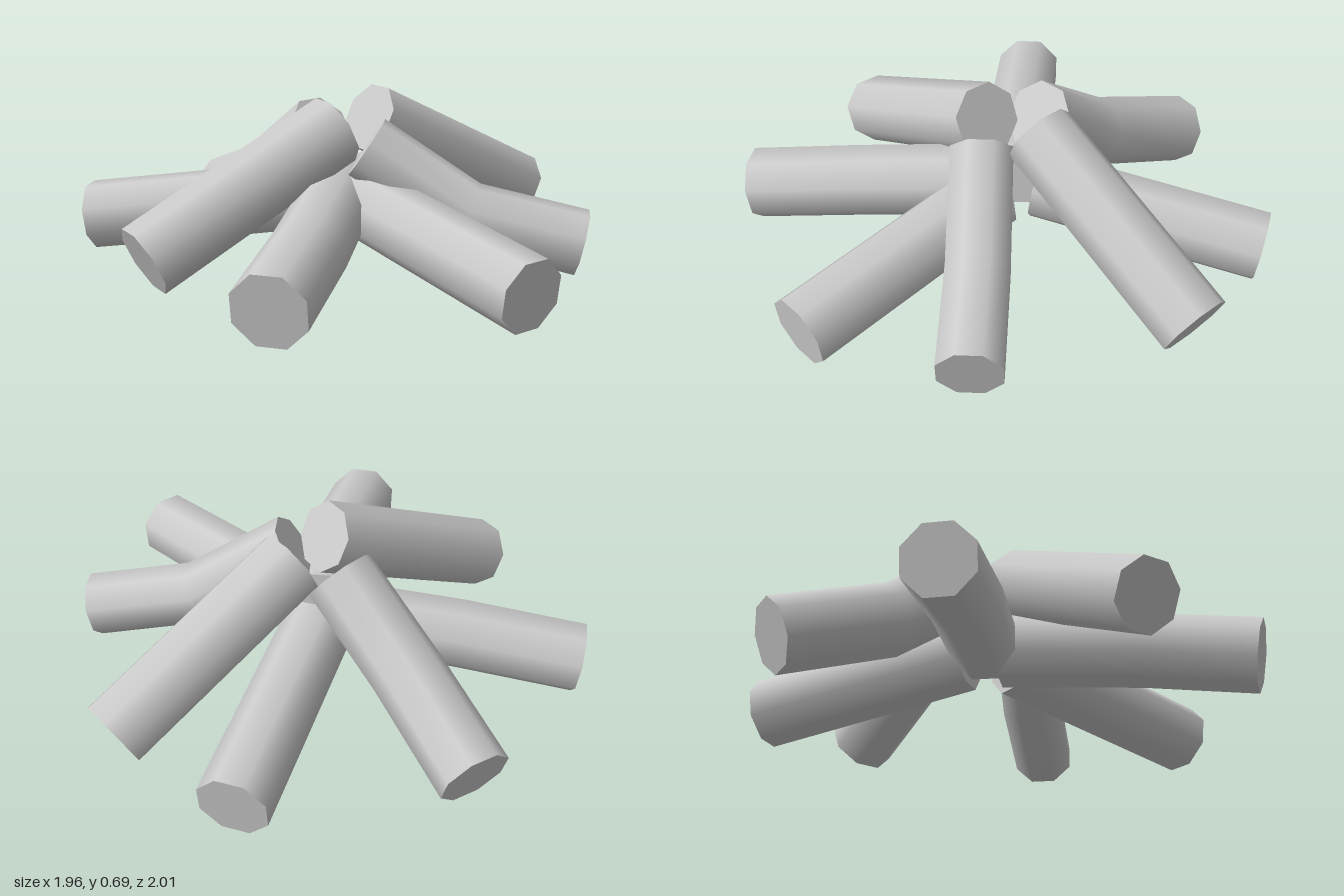
import * as THREE from 'three';

const UP = new THREE.Vector3(0, 1, 0);
const SIDES = 8;

// Log: an eight-sided cylinder whose rings follow a short path from outer foot to inner tip
function makeLog(name, radius, path) {
  const pts = path.map((p) => new THREE.Vector3(...p));
  const last = pts.length - 1;
  const frames = pts.map((p, i) => {
    const t = new THREE.Vector3();
    if (i > 0) t.add(p.clone().sub(pts[i - 1]).normalize());
    if (i < last) t.add(pts[i + 1].clone().sub(p).normalize());
    t.normalize();
    const x = new THREE.Vector3().crossVectors(UP, t).normalize();
    const z = new THREE.Vector3().crossVectors(x, t);
    return new THREE.Matrix4().makeBasis(x, t, z).setPosition(p);
  });
  const geo = new THREE.CylinderGeometry(radius, radius, 1, SIDES, last, false, Math.PI / SIDES);
  const pos = geo.attributes.position;
  const nor = geo.attributes.normal;
  const v = new THREE.Vector3();
  for (let i = 0; i < pos.count; i++) {
    const frame = frames[Math.round((pos.getY(i) + 0.5) * last)];
    v.fromBufferAttribute(pos, i).setY(0).applyMatrix4(frame);
    pos.setXYZ(i, v.x, v.y, v.z);
    v.fromBufferAttribute(nor, i).transformDirection(frame);
    nor.setXYZ(i, v.x, v.y, v.z);
  }
  const mesh = new THREE.Mesh(geo, new THREE.MeshStandardMaterial({ color: 0xcccccc }));
  mesh.name = name;
  return mesh;
}

export function createModel() {
  const group = new THREE.Group();
  group.name = 'logPile';
  const logs = [
    // lower logs, lying almost flat
    ['lowerLogBack', 0.135, [[0.035, 0.18, -0.985], [0.01, 0.3, -0.12]]],
    ['lowerLogFrontLeft', 0.137, [[0.885, 0.187, 0.53], [0.13, 0.31, 0.03]]],
    ['lowerLogFront', 0.14, [[0.14, 0.198, 0.98], [0.115, 0.27, 0.55], [0.03, 0.31, 0.02]]],
    ['lowerLogRight', 0.135, [[-0.955, 0.185, 0.14], [-0.5, 0.25, 0.07], [0, 0.32, -0.04]]],
    // upper logs, leaning on the lower ones
    ['upperLogBackLeft', 0.137, [[0.55, 0.21, -0.8], [0.1, 0.6, -0.14]]],
    ['upperLogLeft', 0.125, [[0.945, 0.195, -0.1], [0.53, 0.285, -0.02], [0.16, 0.53, 0.06]]],
    ['upperLogFrontRight', 0.137, [[-0.45, 0.21, 0.69], [0.04, 0.59, 0.07]]],
    ['upperLogBackRight', 0.138, [[-0.705, 0.14, -0.57], [-0.38, 0.3, -0.27], [-0.075, 0.55, -0.1]]],
  ];
  for (const [name, radius, path] of logs) group.add(makeLog(name, radius, path));
  return group;
}
